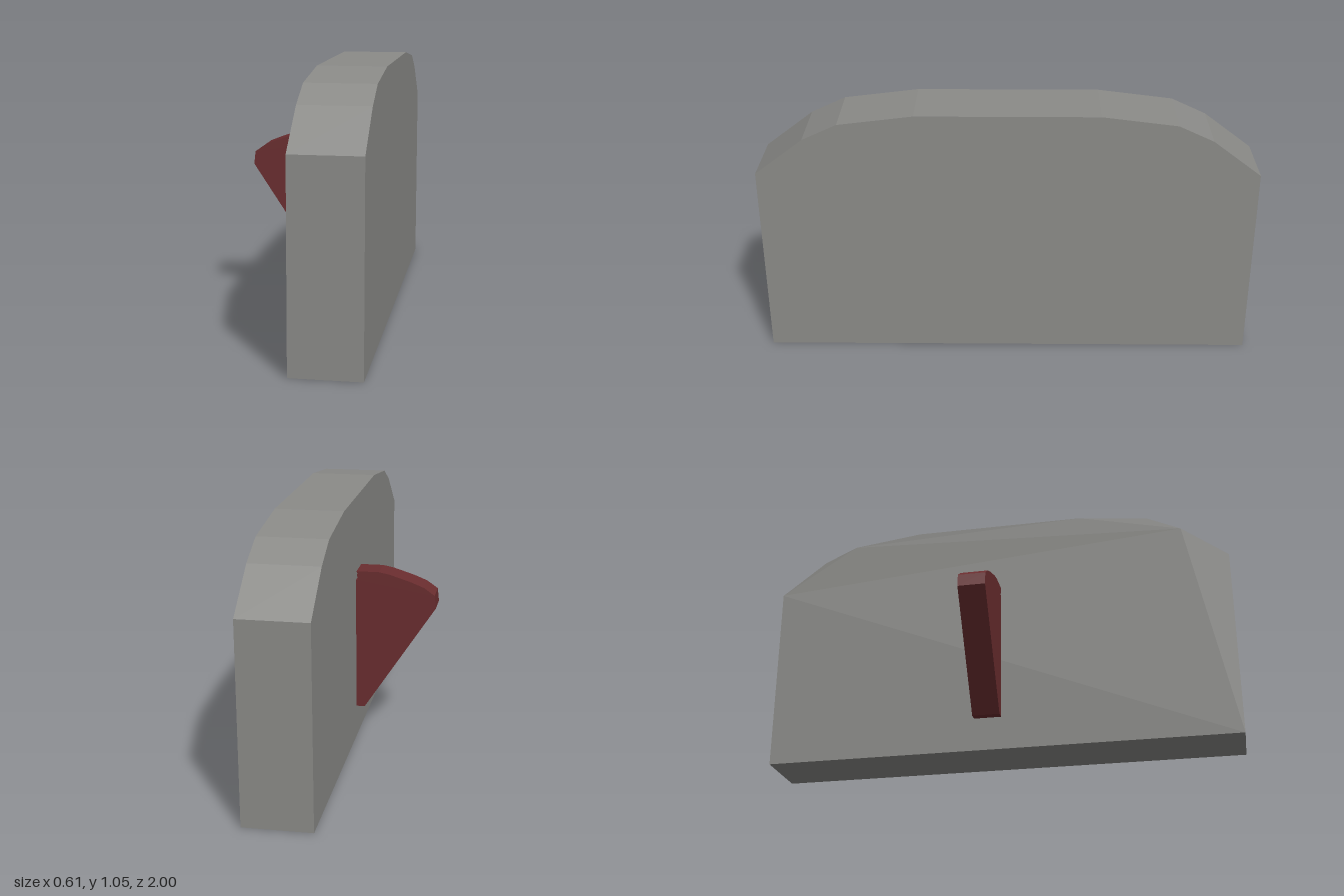
import * as THREE from 'three';

const grey = new THREE.MeshStandardMaterial({ color: 0x8b8b88 });
grey.name = 'stone grey';
const red = new THREE.MeshStandardMaterial({ color: 0x6a2d2f });
red.name = 'dark red';

// Extrudes a flat outline with straight, sharp edges
function plate(points, depth) {
  const shape = new THREE.Shape(points.map(([x, y]) => new THREE.Vector2(x, y)));
  return new THREE.ExtrudeGeometry(shape, { depth, bevelEnabled: false });
}

function addPart(group, name, geometry, material) {
  const mesh = new THREE.Mesh(geometry, material);
  mesh.name = name;
  group.add(mesh);
}

export function createModel() {
  const model = new THREE.Group();
  model.name = 'slabWithFin';

  // Upright slab with a faceted, mirrored shoulder outline
  const half = [[1, 0], [1, 0.805], [0.805, 0.953], [0.665, 1.018], [0.365, 1.055]];
  const outline = [...half, ...half.map(([x, y]) => [-x, y]).reverse()];
  const slab = plate(outline, 0.276);
  slab.rotateY(-Math.PI / 2);
  slab.translate(0.306, 0, 0);
  addPart(model, 'slab', slab, grey);

  // Wedge fin on the side of the slab, with a small chip at its upper corner
  const fin = plate([
    [0.03, 0.141], [0.03, 0.705], [0.022, 0.706], [0.027, 0.728], [0.024, 0.731], [0.028, 0.742],
    [-0.066, 0.742], [-0.112, 0.733], [-0.2, 0.705], [-0.255, 0.683], [-0.3, 0.651],
    [-0.306, 0.597], [-0.006, 0.141],
  ], 0.116);
  fin.translate(0, 0, -0.106);
  addPart(model, 'fin', fin, red);

  return model;
}
